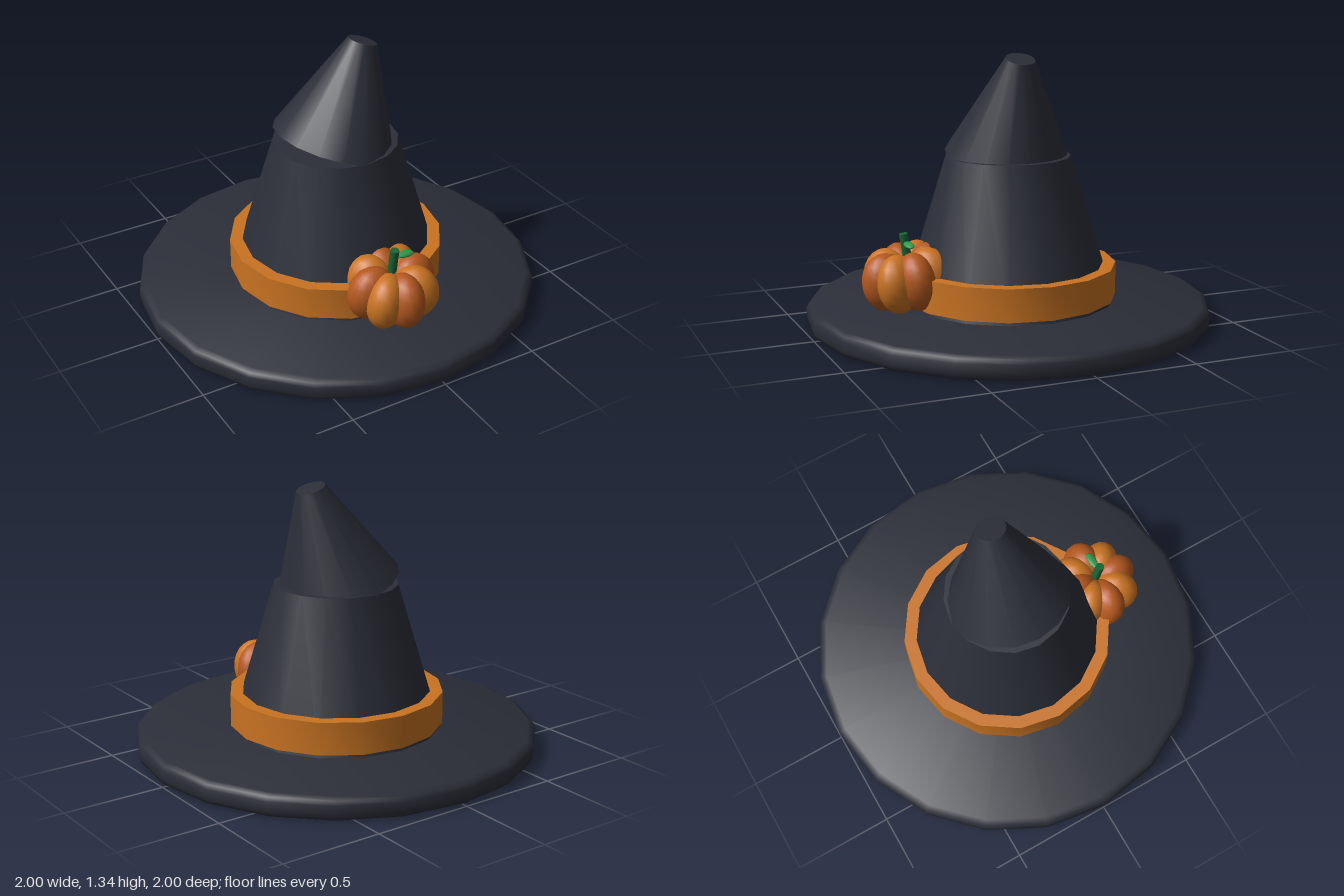
import * as THREE from 'three';
import { toCreasedNormals } from 'three/addons/utils/BufferGeometryUtils.js';

const mat = (color) => new THREE.MeshStandardMaterial({ color });
const cloth = mat(0x2b2e38), orange = mat(0xc97322), rust = mat(0xb5581f);
const darkGreen = mat(0x1c6434), lightGreen = mat(0x2e9a4c);

function part(name, geometry, material, parent) {
  const mesh = new THREE.Mesh(geometry, material);
  mesh.name = name;
  parent.add(mesh);
  return mesh;
}

// Turned solid from [radius, height] pairs, with crisp rims
function turned(profile, sides, crease = 0.5) {
  const points = profile.map(([r, y]) => new THREE.Vector2(r, y));
  return toCreasedNormals(new THREE.LatheGeometry(points, sides), crease);
}

export function createModel() {
  const hat = new THREE.Group();
  hat.name = 'witchHat';

  // Broad brim with a rounded edge
  part('brim', turned([
    [0, 0.005], [0.965, 0.005], [0.99, 0.018], [1, 0.04],
    [1, 0.088], [0.99, 0.108], [0.965, 0.121], [0, 0.121],
  ], 20, 0.75), cloth, hat);

  // Lower crown
  part('crown', turned([[0, 0.11], [0.527, 0.11], [0.308, 0.838], [0, 0.838]], 16), cloth, hat);

  // Bent tip, leaning to the hat's left
  const tip = part('tip', turned([[0, 0], [0.31, 0], [0.072, 0.517], [0, 0.517]], 16), cloth, hat);
  tip.position.set(-0.01, 0.83, 0);
  tip.rotation.z = -0.312;

  // Hat band
  part('band', turned([[0.46, 0.138], [0.533, 0.138], [0.533, 0.3], [0.46, 0.3], [0.46, 0.138]], 16), orange, hat);

  // Pumpkin ornament, tipped slightly forward
  const pumpkin = new THREE.Group();
  pumpkin.name = 'pumpkin';
  pumpkin.position.set(0, 0.277, 0.523);
  pumpkin.rotation.x = 0.16;
  hat.add(pumpkin);
  const lobeGeometry = new THREE.SphereGeometry(1, 16, 12);
  for (let i = 0; i < 8; i++) {
    const angle = (i * Math.PI) / 4;
    const lobe = part('lobe', lobeGeometry, i % 2 ? orange : rust, pumpkin);
    lobe.scale.set(0.095, 0.143, 0.122);
    lobe.position.set(Math.sin(angle) * 0.113, 0, Math.cos(angle) * 0.113);
    lobe.rotation.y = angle;
  }

  // Stem and its side shoot
  const stem = part('stem', new THREE.CylinderGeometry(0.022, 0.022, 0.13, 8), darkGreen, pumpkin);
  stem.position.set(0, 0.15, -0.01);
  const shoot = part('shoot', new THREE.SphereGeometry(1, 10, 8), lightGreen, pumpkin);
  shoot.scale.set(0.05, 0.011, 0.023);
  shoot.position.set(0.062, 0.17, -0.01);
  shoot.rotation.z = -0.08;

  return hat;
}
